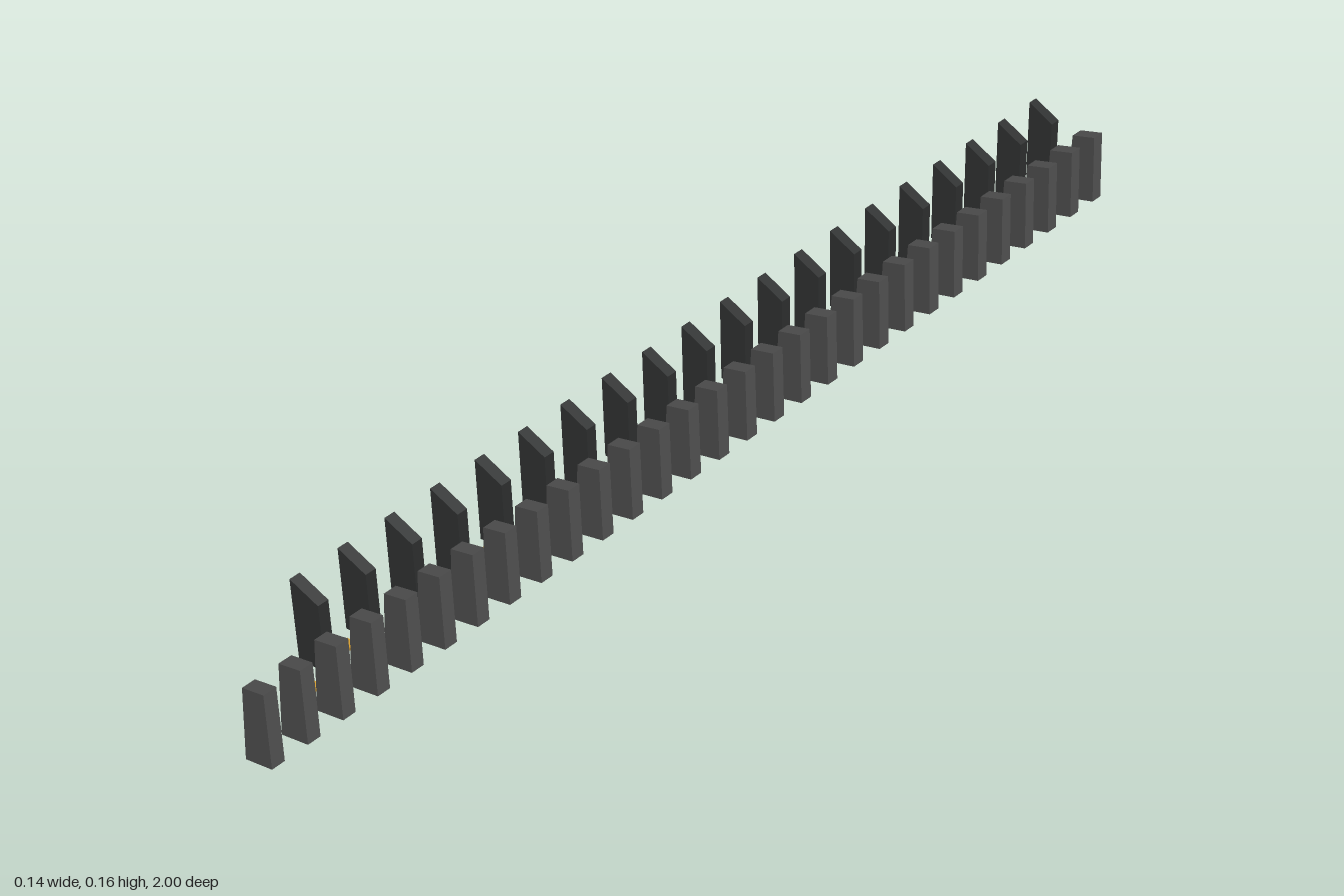
import * as THREE from 'three';

const mat = (color) => new THREE.MeshStandardMaterial({ color, flatShading: true });

// Slab with a four-cornered outline, leaning and slanting along z
function slabGeometry(corners, thickness, slant, lean) {
  const shape = new THREE.Shape(corners.map(([x, y]) => new THREE.Vector2(x, y)));
  const geo = new THREE.ExtrudeGeometry(shape, { depth: thickness, bevelEnabled: false });
  const xMid = corners.reduce((sum, c) => sum + c[0], 0) / corners.length;
  const p = geo.attributes.position;
  for (let i = 0; i < p.count; i++) {
    const shift = slant * (p.getX(i) - xMid) + lean * (p.getY(i) - 0.07);
    p.setZ(i, p.getZ(i) - thickness / 2 + shift);
  }
  geo.computeVertexNormals();
  return geo;
}

// Evenly spaced copies along z
function row(name, geometry, material, count, zStart, zEnd) {
  const group = new THREE.Group();
  group.name = name + 'Row';
  for (let i = 0; i < count; i++) {
    const mesh = new THREE.Mesh(geometry, material);
    mesh.name = name;
    mesh.position.z = zStart + ((zEnd - zStart) * i) / (count - 1);
    group.add(mesh);
  }
  return group;
}

export function createModel() {
  const model = new THREE.Group();
  model.name = 'slabRows';

  // Wide slabs on the left side
  const wide = slabGeometry(
    [[0.015, 0.001], [0.072, 0.016], [0.061, 0.137], [0.015, 0.124]], 0.024, 0.07, -0.05);
  model.add(row('wideSlab', wide, mat(0x505050), 30, -0.984, 0.984));

  // Narrow, taller slabs on the right side
  const narrow = slabGeometry(
    [[-0.073, 0.014], [-0.031, 0.007], [-0.031, 0.128], [-0.073, 0.162]], 0.02, -0.25, 0.03);
  model.add(row('narrowSlab', narrow, mat(0x2e3030), 20, -0.985, 0.797));

  // Thin rods bridging the gap
  const rod = new THREE.BoxGeometry(0.048, 0.005, 0.014);
  rod.translate(-0.008, 0.038, 0);
  model.add(row('rod', rod, mat(0xd9a030), 20, -0.99, 0.857));

  return model;
}
